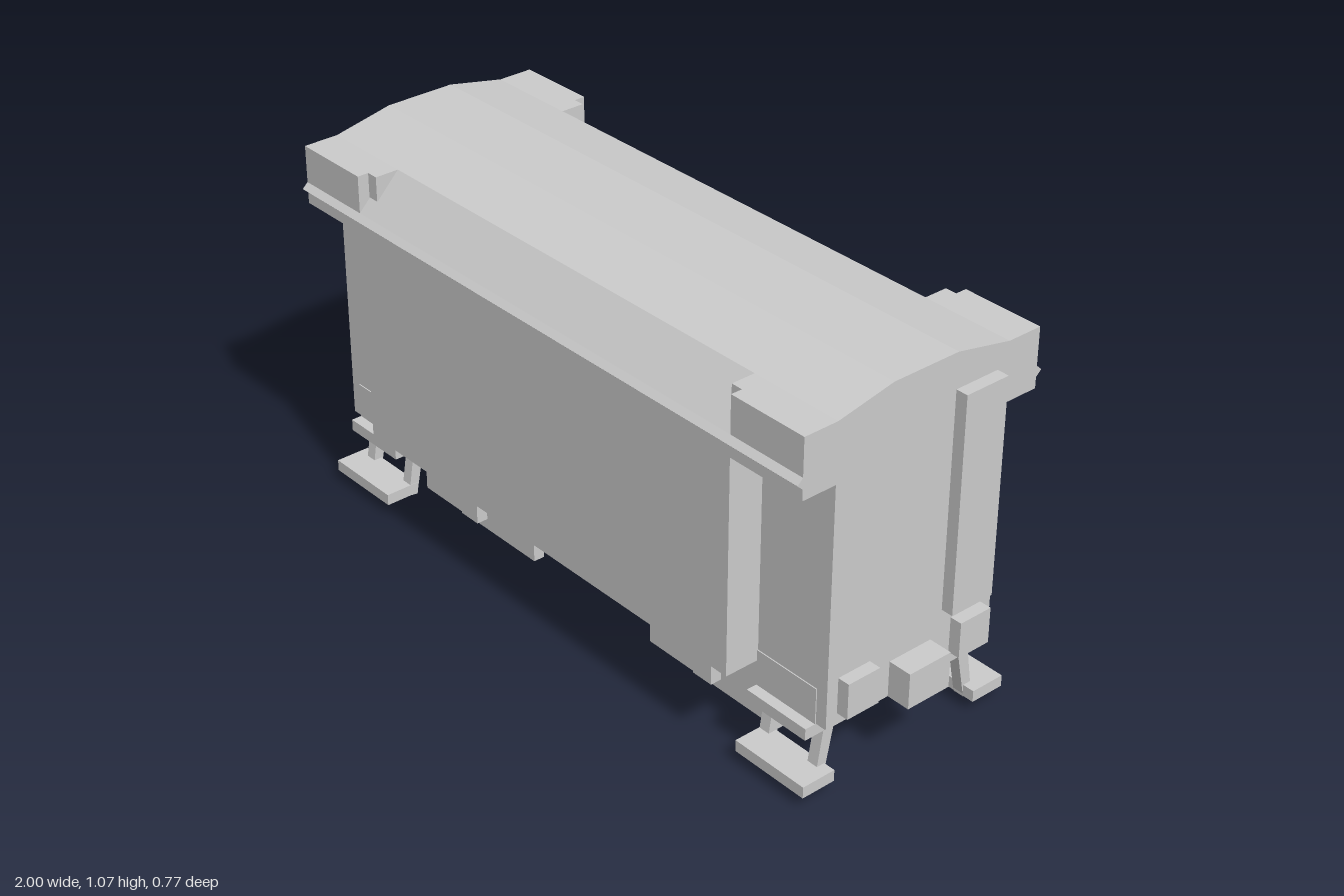
import * as THREE from 'three';

const material = new THREE.MeshStandardMaterial({ color: 0xcccccc });
const thin = new THREE.MeshStandardMaterial({ color: 0xcccccc, side: THREE.DoubleSide });

export function createModel() {
  const model = new THREE.Group();

  // Box given by its lower and upper limits on each axis
  function box(name, [x0, x1], [y0, y1], [z0, z1]) {
    const geo = new THREE.BoxGeometry(Math.abs(x1 - x0), y1 - y0, Math.abs(z1 - z0));
    const mesh = new THREE.Mesh(geo, material);
    mesh.position.set((x0 + x1) / 2, (y0 + y1) / 2, (z0 + z1) / 2);
    mesh.name = name;
    model.add(mesh);
  }

  // Cross-section of [z, y] points extruded along x
  function prism(name, points, x0, x1) {
    const shape = new THREE.Shape(points.map(([z, y]) => new THREE.Vector2(-z, y)));
    const geo = new THREE.ExtrudeGeometry(shape, { depth: x1 - x0, bevelEnabled: false });
    geo.rotateY(Math.PI / 2).translate(x0, 0, 0);
    const mesh = new THREE.Mesh(geo, material);
    mesh.name = name;
    model.add(mesh);
  }

  // Body: narrow core with a wider cabin between the end platforms
  box('bodyCore', [-0.933, 0.933], [0.2, 0.88], [-0.267, 0.267]);
  box('cabin', [-0.7, 0.7], [0.27, 0.87], [-0.367, 0.367]);

  // Roof with a pointed gutter ridge along each side
  const half = [[0.367, 0.87], [0.367, 0.9], [0.383, 0.915], [0.367, 0.93], [0.267, 1.033], [0.1, 1.067]];
  const mirrored = half.map(([z, y]) => [-z, y]).reverse();
  prism('roof', [...half, ...mirrored], -0.933, 0.933);

  for (const sx of [-1, 1]) {
    // Ends: gangway door, buffers and coupler
    box('endDoor', [sx * 0.933, sx * 0.967], [0.37, 0.97], [-sx * 0.1, -sx * 0.233]);
    const couplerY = sx > 0 ? 0.2 : 0.233;
    box('coupler', [sx * 0.93, sx], [couplerY, couplerY + 0.1], [-0.067, 0.067]);

    // Axle between the two frames
    box('axle', [sx * 0.4, sx * 0.533], [0.067, 0.133], [-0.167, 0.167]);

    for (const sz of [-1, 1]) {
      box('buffer', [sx * 0.933, sx * 0.967], [0.233, 0.333], [sz * 0.133, sz * 0.233]);

      // Raised roof corner with its small inner step
      box('roofCorner', [sx * 0.7, sx * 0.933], [0.93, 1.033], [sz * 0.25, sz * 0.367]);
      box('roofCornerStep', [sx * 0.667, sx * 0.7], [0.965, 1.033], [sz * 0.25, sz * 0.335]);

      // Running gear
      box('axleGuard', [sx * 0.233, sx * 0.703], [0.035, 0.2], [sz * 0.167, sz * 0.2]);
      box('axleBox', [sx * 0.433, sx * 0.5], [0.067, 0.133], [sz * 0.2, sz * 0.233]);
      const wheel = new THREE.Mesh(new THREE.PlaneGeometry(0.267, 0.2), thin);
      wheel.position.set(sx * 0.467, 0.1, sz * 0.165);
      wheel.name = 'wheel';
      model.add(wheel);

      // Boarding steps on slanted hangers
      box('stepBackPlate', [sx * 0.7, sx * 0.9], [0.2, 0.3], [sz * 0.26, sz * 0.27]);
      box('upperStep', [sx * 0.7, sx * 0.9], [0.167, 0.2], [sz * 0.2, sz * 0.3]);
      box('lowerStep', [sx * 0.7, sx * 0.933], [0.035, 0.067], [sz * 0.233, sz * 0.333]);
      const hanger = [[0.207, 0.17], [0.24, 0.17], [0.262, 0.035], [0.235, 0.031]].map(([z, y]) => [sz * z, y]);
      for (const x of [0.717, 0.883]) {
        prism('stepHanger', hanger, sx * x - 0.016, sx * x + 0.016);
      }
    }
  }

  // Equipment box under the floor, off to the front side
  box('underfloorBox', [-0.167, 0.1], [0.067, 0.2], [0.067, 0.167]);

  return model;
}
